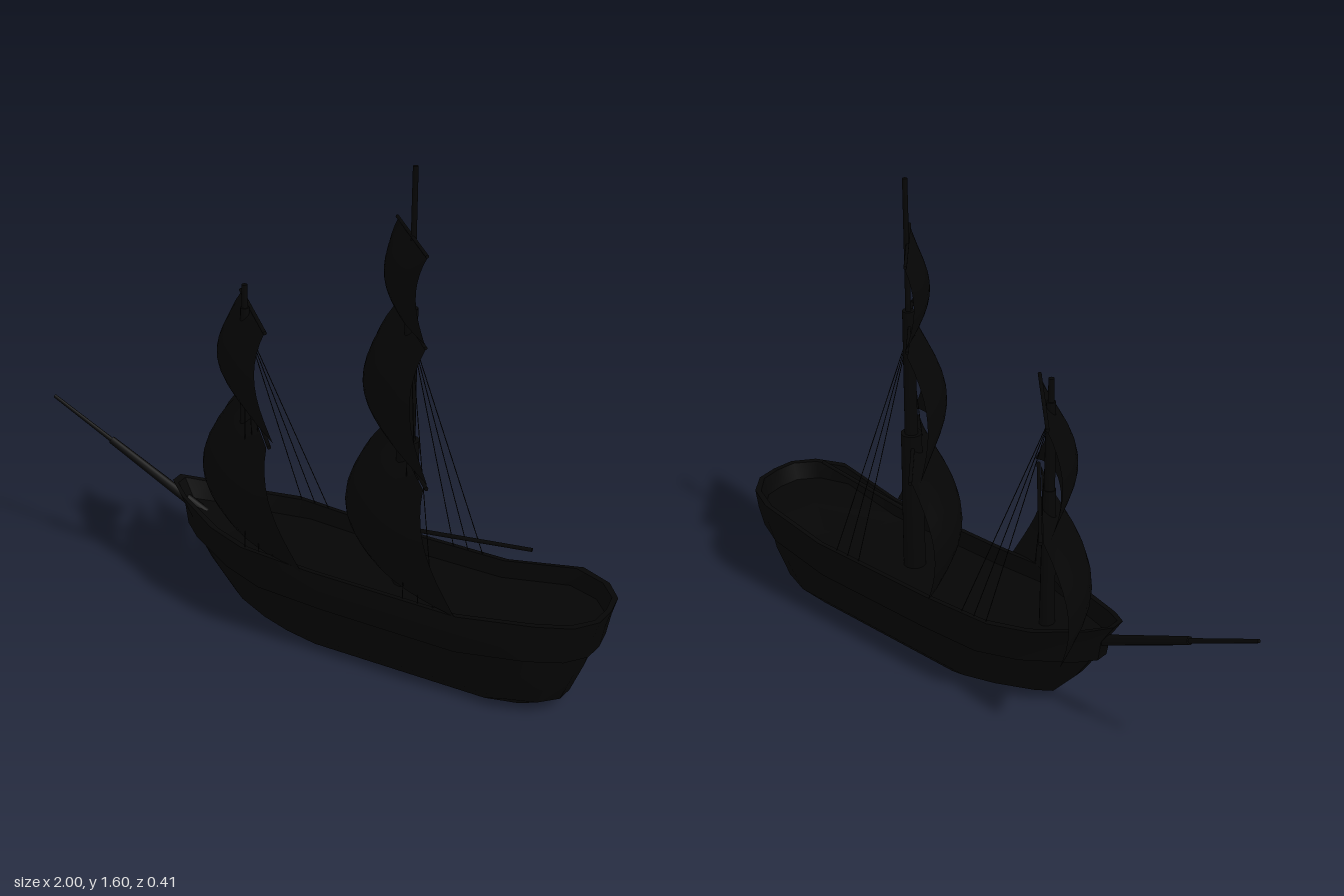
import * as THREE from 'three';
import { toCreasedNormals } from 'three/addons/utils/BufferGeometryUtils.js';

const dark = new THREE.MeshStandardMaterial({ color: 0x050505 });
const cloth = new THREE.MeshStandardMaterial({ color: 0x050505, side: THREE.DoubleSide });
const ZC = -0.01; // centreline of the ship
const V = (x, y, z) => new THREE.Vector3(x, y, z);

function add(parent, name, geometry, material = dark) {
  const mesh = new THREE.Mesh(geometry, material);
  mesh.name = name;
  parent.add(mesh);
  return mesh;
}

// Round spar or rope between two points
function spar(parent, name, a, b, r0, r1 = r0, sides = 10) {
  const mesh = add(parent, name, new THREE.CylinderGeometry(r1, r0, a.distanceTo(b), sides));
  mesh.position.copy(a).add(b).multiplyScalar(0.5);
  mesh.quaternion.setFromUnitVectors(V(0, 1, 0), b.clone().sub(a).normalize());
}

// Height of the rail along the ship, bow at -x
const rail = [[-0.51, 0.4], [-0.44, 0.378], [-0.3, 0.345], [0.07, 0.32], [0.6, 0.315], [0.83, 0.36], [1, 0.36]];
function sheer(x) {
  for (let i = 1; i < rail.length; i++) {
    const [x0, y0] = rail[i - 1], [x1, y1] = rail[i];
    if (x <= x1) return y0 + (y1 - y0) * Math.max(0, (x - x0) / (x1 - x0));
  }
  return 0.36;
}

// Closed plan outline: round stern, straight sides, bow tapering over a given length
function planOutline(bow, stern, w, taper) {
  const half = [[stern - 0.008, 0.4], [stern - 0.06, 0.76], [stern - 0.16, 1]];
  const a = stern - 0.16, b = bow + taper;
  for (const t of [0.25, 0.5, 0.75]) half.push([a + (b - a) * t, 1]);
  half.push([b, 1], [bow + taper * 0.61, 0.76], [bow + taper * 0.17, 0.36], [bow, 0.12]);
  const left = half.map(([x, k]) => [x, k * w]);
  const right = left.map(([x, z]) => [x, -z]).reverse();
  return [[stern, 0], ...left, ...right];
}

// Hull lofted from keel to rail, then down the inside to the deck
function hullGeometry() {
  const flat = (y) => () => y;
  const below = (d) => (x) => sheer(x) - d;
  const levels = [
    [-0.17, 0.82, 0, 0.24, flat(0)], [-0.17, 0.82, 0.105, 0.24, flat(0)],
    [-0.28, 0.89, 0.142, 0.27, flat(0.045)], [-0.37, 0.93, 0.165, 0.31, flat(0.15)],
    [-0.43, 0.945, 0.173, 0.34, below(0.13)], [-0.455, 0.972, 0.179, 0.36, below(0.13)],
    [-0.465, 0.983, 0.193, 0.36, below(0.06)], [-0.51, 0.999, 0.188, 0.36, below(0)],
    [-0.49, 0.982, 0.173, 0.36, below(0)], [-0.46, 0.967, 0.17, 0.36, below(0.06)],
    [-0.46, 0.967, 0, 0.36, below(0.06)],
  ];
  const pos = [], index = [];
  levels.forEach(([bow, stern, w, taper, y], i) => {
    const ring = planOutline(bow, stern, w, taper), n = ring.length;
    for (const [x, z] of ring) pos.push(x, y(x), z + ZC);
    if (i === 0) return;
    for (let j = 0; j < n; j++) {
      const k = (j + 1) % n, lo = (i - 1) * n, hi = i * n;
      index.push(lo + j, hi + j, lo + k, lo + k, hi + j, hi + k);
    }
  });
  const g = new THREE.BufferGeometry();
  g.setAttribute('position', new THREE.Float32BufferAttribute(pos, 3));
  g.setIndex(index);
  return toCreasedNormals(g, 0.6);
}

// Sail between a head and a foot line [x0, x1, z0, z1], swollen by the wind;
// the edges return to the foot corners while the middle of the foot stays full
function sailGeometry({ head, foot, y0, y1, edge, belly, fall, widen = 0, arch }) {
  const g = new THREE.PlaneGeometry(1, 1, 12, 10);
  const p = g.attributes.position, mix = THREE.MathUtils.lerp;
  for (let i = 0; i < p.count; i++) {
    const u = p.getX(i) + 0.5, v = 0.5 - p.getY(i);
    const swell = Math.sin(Math.PI * Math.pow(v, 0.9));
    const crown = 1 - Math.abs(2 * u - 1) ** 2.3;
    const full = belly * crown * Math.sin(Math.PI * fall * Math.pow(v, 0.85));
    const s = 0.5 + (u - 0.5) * (1 + widen * swell);
    const x = mix(mix(head[0], head[1], s), mix(foot[0], foot[1], s), v);
    const z = mix(mix(head[2], head[3], s), mix(foot[2], foot[3], s), v);
    const y = mix(y0, y1, v) + arch * crown * v * v;
    p.setXYZ(i, x - 0.9 * edge * swell - 0.75 * full, y, z + 0.15 * edge * swell + 0.66 * full);
  }
  g.computeVertexNormals();
  return g;
}

// One mast with its spars, sails and shrouds
function buildMast({ name, x, stages, yards, sails, shroudTop, shroudBase }) {
  const mast = new THREE.Group();
  mast.name = name;
  for (const [y0, y1, r0, r1] of stages) spar(mast, 'mastStage', V(x, y0, ZC), V(x, y1, ZC), r0, r1, 12);
  for (const [y, x0, x1, z0, z1, r] of yards) spar(mast, 'yard', V(x0, y, z0), V(x1, y, z1), r);
  for (const s of sails) add(mast, 'sail', sailGeometry(s), cloth);
  for (const side of [-1, 1]) {
    for (let i = 0; i < 3; i++) {
      const bx = shroudBase + i * 0.05;
      spar(mast, 'shroud', V(bx, sheer(bx), ZC + side * 0.178), V(x, shroudTop, ZC), 0.0014, 0.0014, 5);
    }
  }
  return mast;
}

export function createModel() {
  const ship = new THREE.Group();
  ship.name = 'sailingShip';
  add(ship, 'hull', hullGeometry());

  // Bowsprit in two sections, and the boom over the stern deck
  spar(ship, 'bowsprit', V(-0.4, 0.292, -0.013), V(-0.77, 0.468, -0.016), 0.018, 0.013);
  spar(ship, 'bowspritTip', V(-0.75, 0.458, -0.016), V(-0.998, 0.576, -0.017), 0.008, 0.006);
  spar(ship, 'boom', V(0.33, 0.445, ZC), V(0.74, 0.487, -0.015), 0.007, 0.006);

  ship.add(buildMast({
    name: 'mainMast', x: 0.328,
    stages: [[0.2, 0.75, 0.038, 0.034], [0.7, 1.175, 0.022, 0.019], [1.1, 1.6, 0.009, 0.008]],
    yards: [
      [0.705, 0.165, 0.475, -0.19, 0.165, 0.006],
      [1.125, 0.2, 0.44, -0.152, 0.125, 0.005],
      [1.392, 0.21, 0.43, -0.14, 0.112, 0.005],
    ],
    sails: [
      { head: [0.175, 0.465, -0.175, 0.165], foot: [0.09, 0.585, -0.2, 0.18], y0: 0.7, y1: 0.315,
        edge: 0.055, belly: 0.12, fall: 0.66, widen: 0.12, arch: 0.025 },
      { head: [0.205, 0.43, -0.148, 0.105], foot: [0.135, 0.475, -0.175, 0.16], y0: 1.11, y1: 0.715,
        edge: 0.055, belly: 0.065, fall: 0.72, arch: 0.052 },
      { head: [0.215, 0.43, -0.138, 0.112], foot: [0.215, 0.43, -0.138, 0.112], y0: 1.388, y1: 1.13,
        edge: 0.033, belly: 0.042, fall: 0.72, arch: 0.02 },
    ],
    shroudTop: 1.1, shroudBase: 0.41,
  }));

  ship.add(buildMast({
    name: 'foreMast', x: -0.236,
    stages: [[0.2, 0.765, 0.026, 0.02], [0.7, 1.06, 0.018, 0.014], [1, 1.135, 0.01, 0.009]],
    yards: [
      [0.705, -0.35, -0.05, -0.188, 0.165, 0.006],
      [1.052, -0.33, -0.09, -0.14, 0.115, 0.006],
    ],
    sails: [
      { head: [-0.35, -0.06, -0.175, 0.165], foot: [-0.44, 0.07, -0.2, 0.18], y0: 0.7, y1: 0.31,
        edge: 0.055, belly: 0.12, fall: 0.66, widen: 0.12, arch: 0.025 },
      { head: [-0.325, -0.095, -0.138, 0.108], foot: [-0.375, -0.04, -0.172, 0.16], y0: 1.05, y1: 0.72,
        edge: 0.05, belly: 0.065, fall: 0.72, arch: 0.048 },
    ],
    shroudTop: 1.01, shroudBase: -0.14,
  }));
  return ship;
}
